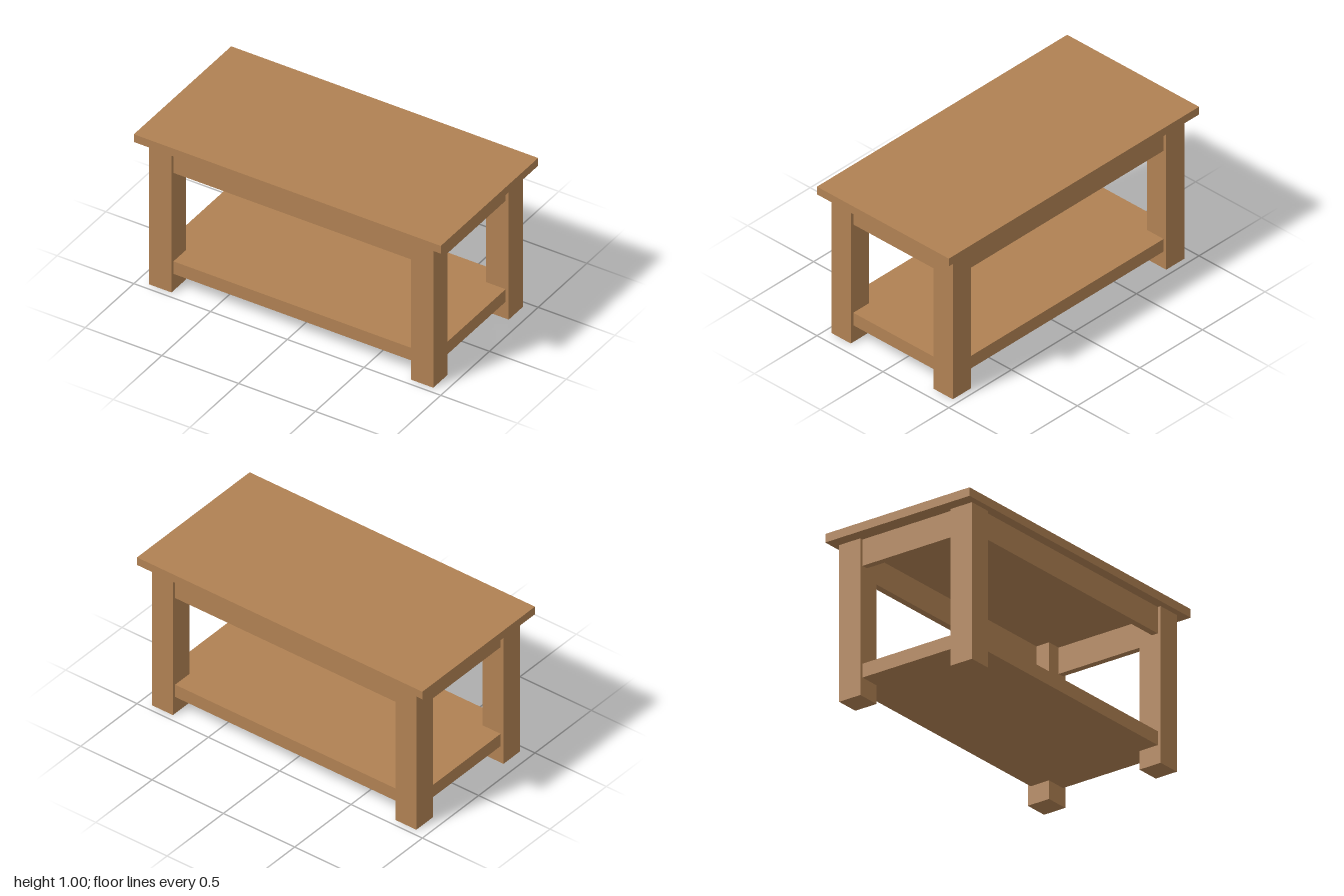
import * as THREE from 'three';

export function createModel() {
  const table = new THREE.Group();
  table.name = 'table';
  const wood = new THREE.MeshStandardMaterial({ color: 0xb08153 });
  wood.name = 'wood';

  // Adds a box centred on x and z, standing on its base height
  function addBoard(name, width, height, depth, x, base, z) {
    const mesh = new THREE.Mesh(new THREE.BoxGeometry(width, height, depth), wood);
    mesh.name = name;
    mesh.position.set(x, base + height / 2, z);
    table.add(mesh);
  }

  const legWidth = 0.147;
  const legX = 0.853, legZ = 0.387; // leg centres
  const legHeight = 0.951;
  const inset = 0.02; // aprons and shelf sit back from the leg faces
  const outerX = legX + legWidth / 2 - inset;
  const outerZ = legZ + legWidth / 2 - inset;
  const apronThickness = 0.04, apronHeight = 0.16;
  const apronBase = legHeight - apronHeight;

  addBoard('tabletop', 2, 0.052, 1, 0, legHeight, 0);
  addBoard('shelf', outerX * 2, 0.084, outerZ * 2, 0, 0.113, 0);

  for (const side of [-1, 1]) {
    const sideName = side > 0 ? 'left' : 'right';
    for (const end of [-1, 1]) {
      addBoard(sideName + (end > 0 ? 'FrontLeg' : 'BackLeg'),
        legWidth, legHeight, legWidth, side * legX, 0, end * legZ);
    }

    // Aprons span the gaps between the legs
    addBoard(sideName + 'Apron', apronThickness, apronHeight, legZ * 2 - legWidth,
      side * (outerX - apronThickness / 2), apronBase, 0);
    addBoard(side > 0 ? 'frontApron' : 'backApron', legX * 2 - legWidth, apronHeight, apronThickness,
      0, apronBase, side * (outerZ - apronThickness / 2));
  }
  return table;
}
